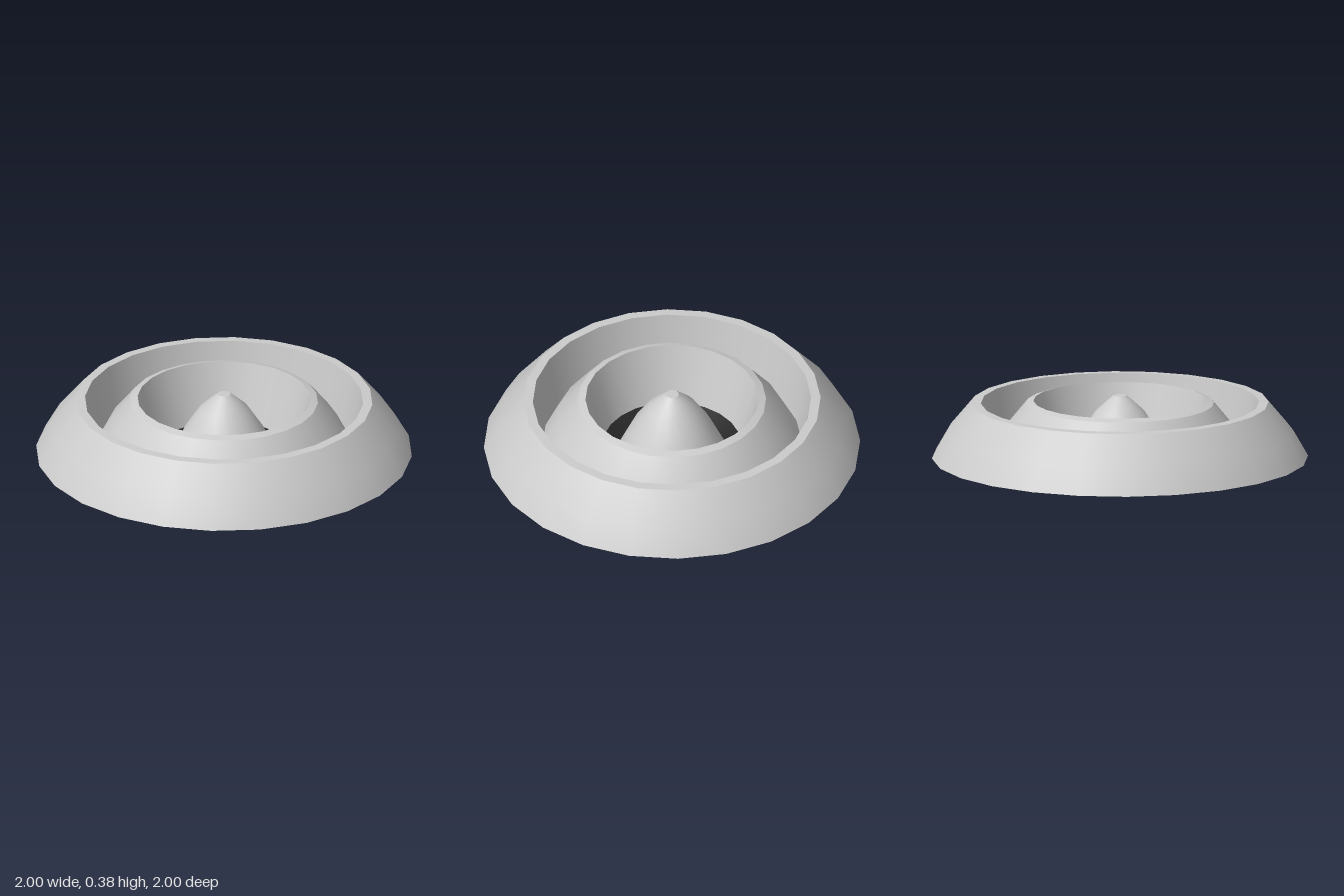
import * as THREE from 'three';

const SIDES = 24;

export function createModel() {
  const model = new THREE.Group();
  model.name = 'speakerDriver';

  const grey = new THREE.MeshStandardMaterial({ color: 0xcccccc, side: THREE.DoubleSide });
  const dark = new THREE.MeshStandardMaterial({ color: 0x262626, side: THREE.DoubleSide });

  // One turned band; separate bands keep the edges between them sharp
  function band(name, profile, material = grey) {
    const points = profile.map(([r, y]) => new THREE.Vector2(r, y));
    const mesh = new THREE.Mesh(new THREE.LatheGeometry(points, SIDES), material);
    mesh.name = name;
    model.add(mesh);
  }

  // Outer frame: bulging skirt, flat rim and the wall dropping into the channel
  band('outerSkirt', [[1, 0.04], [0.92, 0.18], [0.79, 0.335]]);
  band('outerRim', [[0.79, 0.335], [0.74, 0.337]]);
  band('channelWall', [[0.74, 0.337], [0.69, 0.045]]);

  // Inner ring: slope rising from the channel, bevelled lip, wall of the cone
  band('innerSlope', [[0.69, 0.045], [0.61, 0.2], [0.5, 0.335]]);
  band('innerLip', [[0.5, 0.335], [0.46, 0.348]]);
  band('coneWall', [[0.46, 0.348], [0.37, 0.035]]);

  // Dark seat under the central plug
  band('plugSeat', [[0.37, 0.035], [0.29, 0]], dark);

  // Central plug with a small flat tip
  band('centrePlug', [[0.29, 0], [0.21, 0.17], [0.13, 0.29], [0.07, 0.345], [0.035, 0.375]]);
  band('plugTip', [[0.035, 0.375], [0, 0.375]]);

  return model;
}
